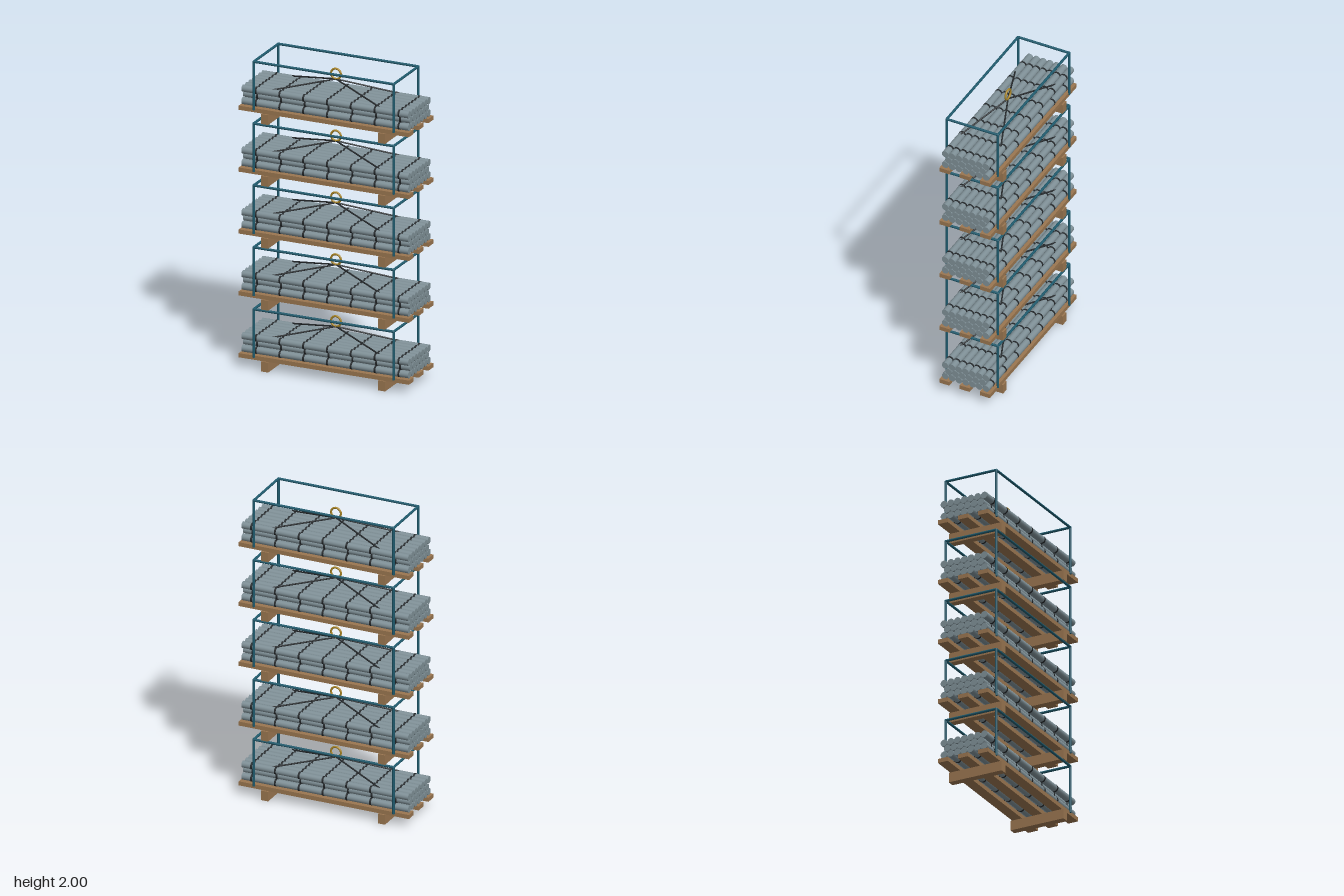
import * as THREE from 'three';
import { mergeGeometries } from 'three/addons/utils/BufferGeometryUtils.js';

const LAYERS = 5, STEP = 0.4;
const PIPE_R = 0.0225, PITCH = 0.0465;

const wood = new THREE.MeshStandardMaterial({ color: 0x9a7650 });
const steel = new THREE.MeshStandardMaterial({ color: 0x7f9097 });
const strap = new THREE.MeshStandardMaterial({ color: 0x25292c });
const paint = new THREE.MeshStandardMaterial({ color: 0x1f5b6e });
const brass = new THREE.MeshStandardMaterial({ color: 0xa98525 });

function add(parent, name, geometry, material, x = 0, y = 0, z = 0) {
  const mesh = new THREE.Mesh(geometry, material);
  mesh.name = name;
  mesh.position.set(x, y, z);
  parent.add(mesh);
  return mesh;
}

// round bar between two points
function bar(parent, name, a, b, radius, material) {
  const from = new THREE.Vector3(...a), to = new THREE.Vector3(...b);
  const dir = to.clone().sub(from);
  const mesh = add(parent, name, new THREE.CylinderGeometry(radius, radius, dir.length(), 10), material);
  mesh.position.copy(from).add(to).multiplyScalar(0.5);
  mesh.quaternion.setFromUnitVectors(new THREE.Vector3(0, 1, 0), dir.normalize());
}

// pipe centres: rows of 7, 6 and 7, nested
function pipeCentres() {
  const centres = [];
  [7, 6, 7].forEach((count, row) => {
    for (let i = 0; i < count; i++) {
      centres.push([0.116 + row * 0.04, (i - (count - 1) / 2) * PITCH]);
    }
  });
  return centres;
}

function createPallet() {
  const pallet = new THREE.Group();
  for (const x of [-0.393, 0.393]) {
    add(pallet, 'runner', new THREE.BoxGeometry(0.047, 0.064, 0.366), wood, x, 0.032, 0);
  }
  for (const z of [-0.139, 0, 0.139]) {
    add(pallet, 'plank', new THREE.BoxGeometry(1.144, 0.027, 0.068), wood, 0, 0.0775, z);
  }
  pallet.name = 'pallet';
  return pallet;
}

function createPipeBundle() {
  const bundle = new THREE.Group();
  bundle.name = 'pipeBundle';
  const centres = pipeCentres();
  const pipe = new THREE.CylinderGeometry(PIPE_R, PIPE_R, 1.12, 14).rotateZ(Math.PI / 2);
  for (const [y, z] of centres) add(bundle, 'pipe', pipe, steel, 0, y, z);

  // one band is a ring around every pipe
  const ring = new THREE.CylinderGeometry(PIPE_R + 0.0015, PIPE_R + 0.0015, 0.012, 14).rotateZ(Math.PI / 2);
  const band = mergeGeometries(centres.map(([y, z]) => ring.clone().translate(0, y, z)));
  for (let i = 0; i < 7; i++) add(bundle, 'band', band, strap, -0.465 + i * 0.16);
  return bundle;
}

function createSling() {
  const sling = new THREE.Group();
  sling.name = 'liftingSling';
  add(sling, 'liftingRing', new THREE.TorusGeometry(0.033, 0.0065, 10, 28), brass, 0, 0.329, 0);
  for (const sx of [-1, 1]) for (const sz of [-1, 1]) {
    bar(sling, 'cable', [0, 0.296, 0], [sx * 0.36, 0.214, sz * 0.138], 0.005, strap);
  }
  return sling;
}

function createFrame() {
  const frame = new THREE.Group();
  frame.name = 'frame';
  const X = 0.47, Z = 0.175, TOP = 0.392, R = 0.008;
  const joint = new THREE.SphereGeometry(R, 10, 8);
  for (const s of [-1, 1]) {
    bar(frame, 'longRail', [-X, TOP, s * Z], [X, TOP, s * Z], R, paint);
    bar(frame, 'crossRail', [s * X, TOP, -Z], [s * X, TOP, Z], R, paint);
    for (const t of [-1, 1]) {
      bar(frame, 'post', [s * X, 0.08, t * Z], [s * X, TOP, t * Z], R, paint);
      add(frame, 'cornerJoint', joint, paint, s * X, TOP, t * Z);
    }
  }
  return frame;
}

export function createModel() {
  const model = new THREE.Group();
  model.name = 'stackedPipePallets';
  const layer = new THREE.Group();
  layer.add(createPallet(), createPipeBundle(), createSling(), createFrame());
  // identical loads stacked on top of each other
  for (let i = 0; i < LAYERS; i++) {
    const copy = layer.clone();
    copy.name = 'load';
    copy.position.y = i * STEP;
    model.add(copy);
  }
  return model;
}
